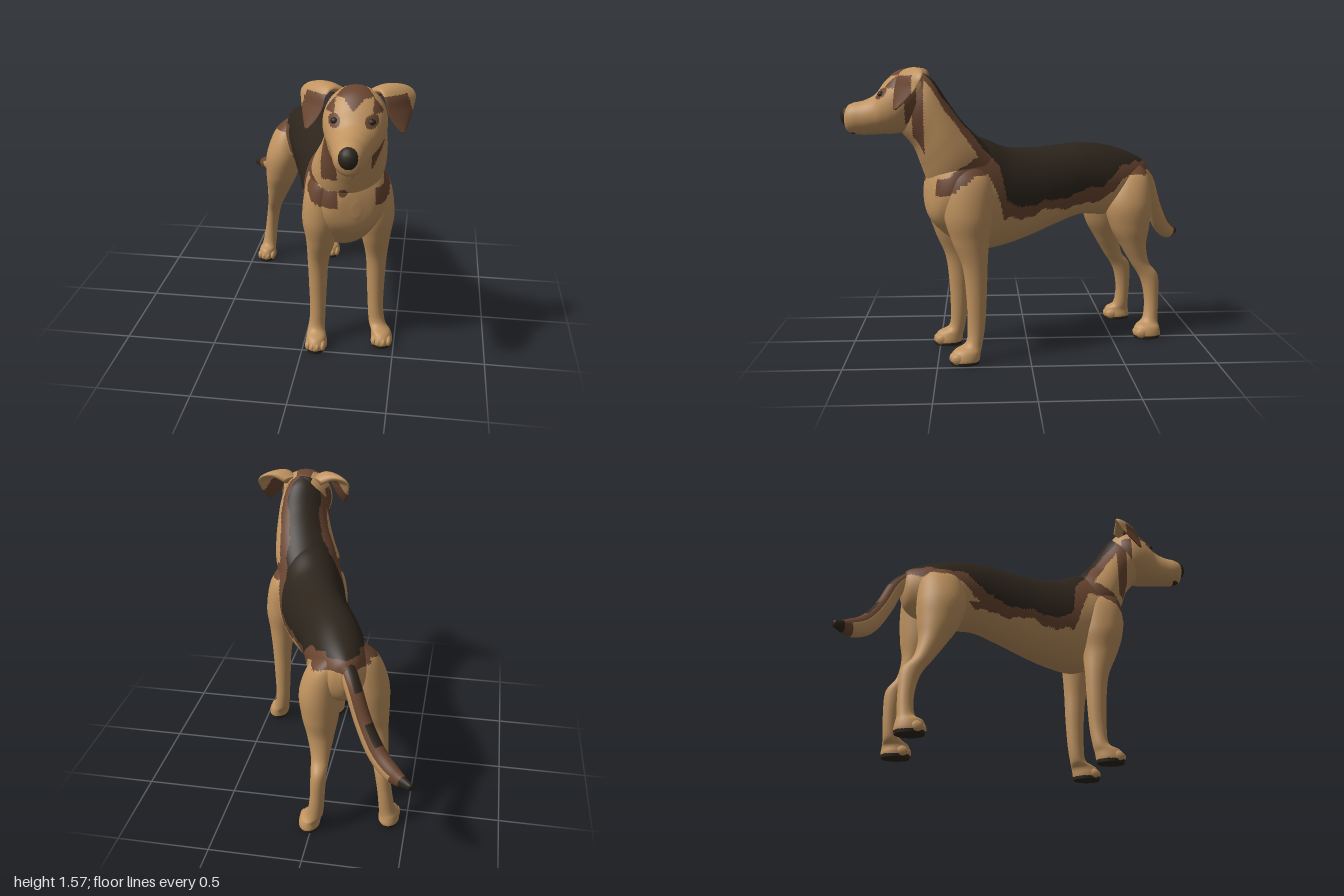
import * as THREE from 'three';

const mat = (name, color) => { const m = new THREE.MeshStandardMaterial({ color }); m.name = name; return m; };
const TAN = 0, BROWN = 1, BLACK = 2;
const coats = [mat('tan fur', 0xc0935f), mat('brown fur', 0x6a4631), mat('black fur', 0x2d251c)];
const V = (x, y, z) => new THREE.Vector3(x, y, z);
const spline = (rows) => new THREE.CatmullRomCurve3(rows.map((r) => V(...r)), false, 'catmullrom', 0.5);

// piecewise linear lookup
function lookup(table, x) {
  if (x <= table[0][0]) return table[0][1];
  for (let i = 1; i < table.length; i++) {
    const [x0, y0] = table[i - 1], [x1, y1] = table[i];
    if (x < x1) return y0 + (y1 - y0) * (x - x0) / (x1 - x0);
  }
  return table[table.length - 1][1];
}

// closed skin over elliptical rings; frame(t) gives centre c and half axes a, b
function skin(name, frame, rows, cols, colour) {
  const pos = [], buckets = [[], [], []];
  for (let i = -1; i <= rows + 1; i++) {
    const t = Math.min(Math.max(i / rows, 0), 1), f = frame(t), k = i < 0 || i > rows ? 0 : 1;
    for (let j = 0; j < cols; j++) {
      const th = j / cols * Math.PI * 2;
      const p = f.c.clone().addScaledVector(f.a, k * Math.cos(th)).addScaledVector(f.b, k * Math.sin(th));
      pos.push(p.x, p.y, p.z);
    }
  }
  const at = (i) => V(pos[3 * i], pos[3 * i + 1], pos[3 * i + 2]);
  for (let i = 0; i < rows + 2; i++) for (let j = 0; j < cols; j++) {
    const a = i * cols + j, b = i * cols + (j + 1) % cols, c = a + cols, d = b + cols;
    for (const tri of [[a, b, c], [b, d, c]]) {
      const mid = at(tri[0]).add(at(tri[1])).add(at(tri[2])).divideScalar(3);
      buckets[colour(mid, i / rows, (j + 0.5) / cols * Math.PI * 2)].push(...tri);
    }
  }
  const g = new THREE.BufferGeometry();
  g.setAttribute('position', new THREE.Float32BufferAttribute(pos, 3));
  g.setIndex(buckets.flat());
  let start = 0;
  buckets.forEach((b, m) => { if (b.length) g.addGroup(start, b.length, m); start += b.length; });
  g.computeVertexNormals();
  const mesh = new THREE.Mesh(g, coats);
  mesh.name = name;
  return mesh;
}

// sections [x, z0, y0, z1, y1, halfWidth]: each ring spans the two side-profile points
function loft(name, sections, side, rows, cols, colour) {
  const p = spline(sections.map((s) => [s[0], s[2], s[1]]));
  const q = spline(sections.map((s) => [s[5], s[4], s[3]]));
  return skin(name, (t) => {
    const u = p.getPoint(t), r = q.getPoint(t), low = V(u.x, r.y, r.z);
    return {
      c: u.clone().add(low).multiplyScalar(0.5),
      a: side.clone().multiplyScalar(Math.max(r.x, 0.004)),
      b: u.clone().sub(low).multiplyScalar(0.5),
    };
  }, rows, cols, colour);
}

// ribbon along a path with sizes [halfWidth, halfThickness]
function ribbon(name, path, sizes, side, rows, cols, colour) {
  const c = spline(path), s = spline(sizes.map(([w, h]) => [w, h, 0]));
  return skin(name, (t) => {
    const size = s.getPoint(t), a = side.clone().normalize();
    const b = c.getTangent(t).cross(a).normalize().multiplyScalar(Math.max(size.y, 0.003));
    return { c: c.getPoint(t), a: a.multiplyScalar(Math.max(size.x, 0.003)), b };
  }, rows, cols, colour);
}

// saddle and neck markings, measured along the slanted body axis
const blackEdge = [[-0.75, 1.0], [-0.6, 1.05], [-0.47, 1.0], [-0.37, 0.92], [-0.1, 0.85], [0.15, 0.83],
  [0.19, 0.86], [0.22, 1.06], [0.3, 1.16], [0.38, 1.255], [0.48, 1.415], [0.57, 1.55]];
const brownEdge = [[-0.75, 0.97], [-0.54, 0.97], [-0.43, 0.88], [-0.32, 0.81], [0, 0.79], [0.1, 0.76],
  [0.2, 0.76], [0.24, 0.9], [0.29, 1.03], [0.36, 1.14], [0.46, 1.31], [0.58, 1.51]];
function coat(p) {
  if (p.y < 0.018) return BLACK;
  const d = 0.93 * (p.x - 0.085) - 0.36 * p.z;
  let q = (0.93 * p.z + 0.36 * (p.x - 0.085)) * 0.93;
  if (q < -0.25 && d < -0.14) q -= 0.08;
  const y = p.y + 0.01 * Math.sin(q * 29) + 0.005 * Math.sin(q * 67);
  if (y > lookup(blackEdge, q)) return BLACK;
  if (y > lookup(brownEdge, q)) return BROWN;
  if (q > 0.24 && q < 0.57 && Math.abs(d) > 0.1 && Math.abs(y - 1.09 + 0.55 * (q - 0.27)) < 0.045) return BROWN;
  if (q > 0.4 && Math.hypot(p.x - 0.225, p.y - 0.985) < 0.022) return BROWN;
  if (p.y > 1.06 && Math.abs(p.x - 0.28) > 0.085 && Math.abs(p.z - 0.585) < 0.03) return BROWN;
  return TAN;
}

const HX = 0.29; // head centre line
function face(p) {
  const d = Math.abs(p.x - HX);
  if (p.z < 0.57 && d < 0.05 && p.y > 1.46) return BLACK;
  if (p.z > 0.92 && p.y < 1.234 && d < 0.035) return BLACK;
  if (p.z > 0.7 && Math.hypot(d - 0.088, p.y - 1.437) < 0.03) return BROWN;
  const peak = 1.53 - 0.05 * Math.max(0, 1 - d / 0.05);
  if (p.y > peak && d < 0.045 + 0.7 * Math.max(0, p.z - 0.62)) return BROWN;
  if (d > 0.09 && p.z > 0.69 && p.y > 1.465 && p.y < 1.53) return BROWN;
  if (d > 0.1 && Math.abs(p.z - 0.62) < 0.03 && p.y < 1.47) return BROWN;
  return TAN;
}

function ball(name, material, x, y, z, sx, sy, sz) {
  const m = new THREE.Mesh(new THREE.SphereGeometry(1, 16, 10), material);
  m.name = name;
  m.position.set(x, y, z);
  m.scale.set(sx, sy, sz);
  return m;
}

// leg profiles, top to bottom: [zFront, yFront, zBack, yBack, halfWidth]
const foreProfile = [[0.4, 1.1, 0.3, 1.1, 0.03], [0.455, 0.98, 0.21, 0.98, 0.085], [0.46, 0.8, 0.2, 0.8, 0.105],
  [0.42, 0.66, 0.22, 0.66, 0.08], [0.365, 0.52, 0.23, 0.52, 0.058], [0.345, 0.36, 0.235, 0.36, 0.049],
  [0.34, 0.2, 0.245, 0.2, 0.043], [0.35, 0.11, 0.26, 0.1, 0.046], [0.41, 0.075, 0.27, 0.06, 0.054],
  [0.435, 0.035, 0.275, 0.025, 0.06], [0.43, 0, 0.28, 0, 0.056]];
const hindProfile = [[-0.58, 1.03, -0.66, 1.03, 0.03], [-0.5, 0.95, -0.715, 0.95, 0.085], [-0.46, 0.8, -0.73, 0.8, 0.11],
  [-0.49, 0.66, -0.72, 0.66, 0.098], [-0.55, 0.55, -0.705, 0.55, 0.073], [-0.615, 0.44, -0.725, 0.44, 0.05],
  [-0.675, 0.34, -0.78, 0.36, 0.042], [-0.7, 0.22, -0.785, 0.22, 0.039], [-0.69, 0.11, -0.78, 0.1, 0.044],
  [-0.645, 0.075, -0.785, 0.06, 0.051], [-0.63, 0.035, -0.79, 0.025, 0.057], [-0.635, 0, -0.785, 0, 0.053]];

function leg(name, profile, xs, dz) {
  const g = new THREE.Group();
  g.name = name;
  g.add(loft(name + 'Limb', profile.map((s, i) => [xs[i], s[0] + dz, s[1], s[2] + dz, s[3], s[4]]), V(1, 0, 0), 90, 40, coat));
  const x = xs[xs.length - 1], z = profile[profile.length - 1][0] + dz;
  [-1.5, -0.5, 0.5, 1.5].forEach((k) => {
    g.add(ball('toe', coats[TAN], x + k * 0.027, 0.034, z - 0.022 - Math.abs(k) * 0.012, 0.018, 0.029, 0.036));
  });
  return g;
}

export function createModel() {
  const dog = new THREE.Group();
  dog.name = 'dog';

  // trunk: [z, top, bottom, halfWidth] along the slanted axis
  const trunk = [[-0.72, 1.0, 0.88, 0.03], [-0.68, 1.045, 0.8, 0.09], [-0.58, 1.095, 0.74, 0.14], [-0.45, 1.135, 0.725, 0.16],
    [-0.3, 1.152, 0.735, 0.158], [-0.15, 1.14, 0.69, 0.162], [0, 1.13, 0.635, 0.172], [0.14, 1.145, 0.595, 0.187],
    [0.27, 1.2, 0.58, 0.202], [0.38, 1.21, 0.62, 0.207], [0.46, 1.15, 0.68, 0.195], [0.515, 1.07, 0.74, 0.155],
    [0.54, 1.0, 0.79, 0.1], [0.55, 0.93, 0.85, 0.02]];
  dog.add(loft('trunk', trunk.map(([z, t, b, w]) => [0.085 + 0.38 * z, z, t, z, b, w]), V(0.93, 0, -0.36), 180, 110, coat));

  // neck rises from the shoulders to the skull
  dog.add(loft('neck', [[0.205, 0.18, 1.12, 0.44, 0.78, 0.17], [0.235, 0.29, 1.215, 0.535, 0.93, 0.192],
    [0.265, 0.37, 1.3, 0.582, 1.06, 0.175], [0.282, 0.44, 1.4, 0.615, 1.15, 0.157],
    [0.288, 0.51, 1.505, 0.67, 1.22, 0.145], [0.29, 0.57, 1.55, 0.71, 1.27, 0.125]], V(0.97, 0, -0.22), 110, 90, coat));

  // head and muzzle
  dog.add(loft('head', [[HX, 0.52, 1.5, 0.58, 1.3, 0.1], [HX, 0.57, 1.55, 0.64, 1.245, 0.14],
    [HX, 0.63, 1.568, 0.69, 1.23, 0.155], [HX, 0.7, 1.553, 0.73, 1.225, 0.147], [HX, 0.76, 1.5, 0.775, 1.225, 0.125],
    [HX, 0.81, 1.435, 0.82, 1.222, 0.102], [HX, 0.87, 1.402, 0.88, 1.22, 0.086], [HX, 0.93, 1.388, 0.93, 1.225, 0.074],
    [HX, 0.97, 1.365, 0.962, 1.24, 0.055], [HX, 0.983, 1.335, 0.975, 1.27, 0.025]], V(1, 0, 0), 120, 80, face));
  dog.add(ball('nose', coats[BLACK], HX, 1.32, 0.95, 0.052, 0.056, 0.05));

  for (const s of [1, -1]) {
    const tag = s > 0 ? 'left' : 'right';
    dog.add(ball(tag + 'Eye', coats[BLACK], HX + s * 0.086, 1.435, 0.773, 0.02, 0.016, 0.018));
    // folded ear: out from the skull, then hanging down
    const path = [[0.08, 1.515, 0.58], [0.135, 1.545, 0.595], [0.18, 1.545, 0.605], [0.207, 1.515, 0.62],
      [0.211, 1.465, 0.64], [0.219, 1.41, 0.665], [0.231, 1.362, 0.69]];
    dog.add(ribbon(tag + 'Ear', path.map(([x, y, z]) => [HX + s * x, y, z]),
      [[0.045, 0.026], [0.065, 0.025], [0.086, 0.02], [0.094, 0.015], [0.082, 0.012], [0.052, 0.01], [0.012, 0.006]],
      V(-0.72 * s, 0, 0.69), 60, 32, (p) => (p.y < 1.53 && p.z > 0.605 ? BROWN : TAN)));
  }

  // legs
  dog.add(leg('leftForeleg', foreProfile, [0.33, 0.36, 0.372, 0.38, 0.385, 0.385, 0.388, 0.4, 0.425, 0.432, 0.432], 0));
  dog.add(leg('rightForeleg', foreProfile, [0.15, 0.11, 0.102, 0.095, 0.078, 0.075, 0.075, 0.07, 0.073, 0.075, 0.075], 0.1));
  dog.add(leg('leftHindLeg', hindProfile,
    [-0.1, -0.06, -0.03, -0.03, -0.035, -0.04, -0.04, -0.035, -0.02, 0.01, 0.015, 0.015], 0));
  dog.add(leg('rightHindLeg', hindProfile,
    [-0.2, -0.23, -0.26, -0.28, -0.305, -0.335, -0.36, -0.38, -0.395, -0.405, -0.405, -0.405], 0.115));

  // tail, dark along the top and at the tip
  dog.add(ribbon('tail', [[-0.17, 1.0, -0.66], [-0.22, 0.91, -0.735], [-0.28, 0.755, -0.79], [-0.36, 0.62, -0.855],
    [-0.45, 0.555, -0.925], [-0.545, 0.535, -0.99]],
  [[0.045, 0.045], [0.043, 0.047], [0.043, 0.049], [0.045, 0.055], [0.04, 0.048], [0.014, 0.018]],
  V(0.7, 0, -0.7), 60, 32, (p, t, th) => {
    const up = -Math.sin(th);
    if (t > 0.91 || (up > 0.85 && (t < 0.25 || (t > 0.42 && t < 0.58)))) return BLACK;
    return up > 0.35 || t > 0.82 ? BROWN : TAN;
  }));
  return dog;
}
